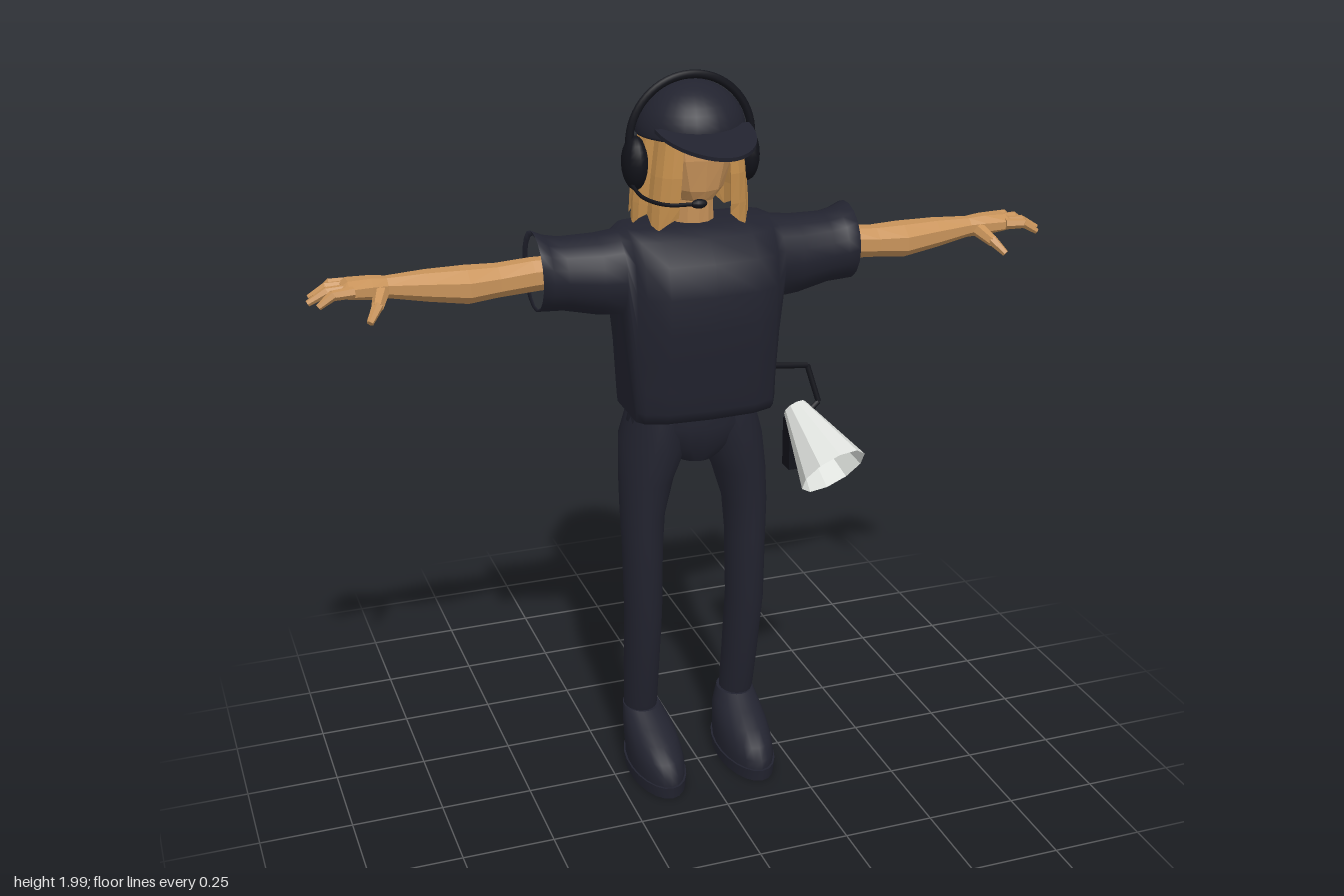
import * as THREE from 'three';

const V = (x, y, z) => new THREE.Vector3(x, y, z);
const mat = (name, color, opts = {}) => Object.assign(new THREE.MeshStandardMaterial({ color, ...opts }), { name });

// Skin a list of rings (each ring turns counter-clockwise about the direction of travel)
function loft(rings, { closed = true, capStart = false, capEnd = false } = {}) {
  const n = rings[0].length, pos = [], idx = [];
  rings.forEach(r => r.forEach(p => pos.push(p.x, p.y, p.z)));
  for (let i = 0; i < rings.length - 1; i++) {
    for (let j = 0; j < (closed ? n : n - 1); j++) {
      const a = i * n + j, b = i * n + (j + 1) % n;
      idx.push(a, b, b + n, a, b + n, a + n);
    }
  }
  const cap = (ring, flip) => {
    const base = pos.length / 3;
    ring.forEach(p => pos.push(p.x, p.y, p.z));
    for (let j = 1; j < n - 1; j++) idx.push(base, base + (flip ? j + 1 : j), base + (flip ? j : j + 1));
  };
  if (capStart) cap(rings[0], true);
  if (capEnd) cap(rings[rings.length - 1], false);
  const g = new THREE.BufferGeometry();
  g.setAttribute('position', new THREE.Float32BufferAttribute(pos, 3));
  g.setIndex(idx);
  g.computeVertexNormals();
  return g;
}

// Oval rings stacked up y: [y, centre x, half width, front z, back z]
const ovalsY = (rows, n) => rows.map(([y, cx, hx, zf, zb]) => Array.from({ length: n }, (_, j) => {
  const a = j / n * Math.PI * 2;
  return V(cx + hx * Math.sin(a), y, (zf + zb) / 2 + (zf - zb) / 2 * Math.cos(a));
}));

// Oval rings strung along x: [x, centre y, half height, front z, back z]
const ovalsX = (rows, n) => rows.map(([x, cy, hy, zf, zb]) => Array.from({ length: n }, (_, j) => {
  const a = (j + 0.5) / n * Math.PI * 2;
  return V(x, cy + hy * Math.cos(a), (zf + zb) / 2 + (zf - zb) / 2 * Math.sin(a));
}));

export function createModel() {
  const model = new THREE.Group();
  model.name = 'crewMember';
  const navy = mat('navyCloth', 0x22232f);
  const black = mat('blackPlastic', 0x12131a);
  const skin = mat('skin', 0xc8935a, { flatShading: true });
  const hair = mat('hair', 0xc8924f, { flatShading: true, side: THREE.DoubleSide });
  const white = mat('megaphoneWhite', 0xdde0dc, { flatShading: true, side: THREE.DoubleSide });

  const add = (name, geo, material, parent = model) => {
    const m = new THREE.Mesh(geo, material);
    m.name = name;
    parent.add(m);
    return m;
  };
  // Tapered rod between two points
  const rod = (name, a, b, ra, rb, sides, material, parent = model, open = false) => {
    const m = add(name, new THREE.CylinderGeometry(rb, ra, a.distanceTo(b), sides, 1, open), material, parent);
    m.position.copy(a).add(b).multiplyScalar(0.5);
    m.quaternion.setFromUnitVectors(V(0, 1, 0), b.clone().sub(a).normalize());
    return m;
  };

  // Shirt: one hollow loft from sleeve opening to sleeve opening
  const levels = [1.605, 1.585, 1.53, 1.45, 1.36, 1.27, 1.19, 1.13, 1.10];
  const front = [0.03, 0.09, 0.14, 0.157, 0.155, 0.145, 0.13, 0.125, 0.11];
  const back = [-0.10, -0.145, -0.17, -0.185, -0.19, -0.175, -0.16, -0.165, -0.15];
  const torsoRing = (x, k) => {
    const side = zs => levels.map((y, i) => {
      const mid = (front[i] + back[i]) / 2;
      return V(x, y, mid + (zs[i] - mid) * k);
    });
    return [...side(front), ...side(back).reverse()];
  };
  const sleeve = [
    [0.215, 1.488, 0.112, 0.085, -0.13], [0.27, 1.488, 0.106, 0.08, -0.125], [0.36, 1.495, 0.095, 0.065, -0.13],
    [0.40, 1.50, 0.098, 0.068, -0.135], [0.43, 1.508, 0.104, 0.072, -0.138], [0.424, 1.505, 0.095, 0.05, -0.112],
  ];
  const leftSleeve = ovalsX(sleeve, 18);
  const rightSleeve = ovalsX(sleeve.map(([x, ...r]) => [-x, ...r]), 18).reverse();
  const torso = [[-0.192, 0.62], [-0.175, 0.8], [-0.12, 0.95], [0, 1], [0.12, 0.95], [0.175, 0.8], [0.192, 0.62]];
  add('shirt', loft([...rightSleeve, ...torso.map(([x, k]) => torsoRing(x, k)), ...leftSleeve]), navy);

  // Trousers seat
  add('trouserSeat', loft(ovalsY([
    [0.95, 0, 0.06, 0.03, -0.12], [1.0, 0, 0.15, 0.06, -0.18], [1.06, 0, 0.182, 0.075, -0.185],
    [1.14, 0, 0.165, 0.07, -0.145]], 24), { capStart: true, capEnd: true }), navy);

  // Paired limbs, built on the left and mirrored
  for (const s of [1, -1]) {
    const half = new THREE.Group();
    half.name = s > 0 ? 'leftLimbs' : 'rightLimbs';
    half.scale.x = s;
    model.add(half);

    add('trouserLeg', loft(ovalsY([
      [0.15, 0.145, 0.045, -0.035, -0.14], [0.19, 0.146, 0.047, -0.022, -0.135], [0.3, 0.148, 0.049, 0, -0.122],
      [0.5, 0.15, 0.052, 0.035, -0.096], [0.7, 0.15, 0.055, 0.042, -0.104], [0.8, 0.148, 0.06, 0.046, -0.116],
      [0.9, 0.133, 0.073, 0.052, -0.145], [1.0, 0.106, 0.092, 0.063, -0.187], [1.08, 0.092, 0.084, 0.06, -0.175]], 18),
      { capStart: true, capEnd: true }), navy, half);

    // Shoe with a flat sole
    add('shoe', loft(ovalsY([
      [0.03, 0.134, 0.072, 0.168, -0.148], [0.06, 0.134, 0.073, 0.168, -0.15], [0.09, 0.135, 0.072, 0.143, -0.152],
      [0.12, 0.136, 0.069, 0.095, -0.15], [0.145, 0.139, 0.062, 0.04, -0.146], [0.175, 0.143, 0.052, -0.02, -0.142]], 22),
      { capStart: true, capEnd: true }), navy, half);
    add('shoeSole', loft(ovalsY([
      [0, 0.134, 0.074, 0.172, -0.152], [0.034, 0.134, 0.077, 0.175, -0.156]], 22),
      { capStart: true, capEnd: true }), navy, half);

    // Arm and palm
    add('arm', loft(ovalsX([
      [0.32, 1.5, 0.04, 0.005, -0.09], [0.43, 1.495, 0.044, -0.004, -0.095], [0.52, 1.49, 0.043, 0.003, -0.1],
      [0.6, 1.487, 0.048, 0.013, -0.112], [0.7, 1.495, 0.04, 0, -0.1], [0.8, 1.503, 0.028, -0.015, -0.08],
      [0.84, 1.507, 0.03, 0, -0.084], [0.9, 1.513, 0.025, 0.018, -0.092], [0.915, 1.51, 0.017, 0.012, -0.086]], 8),
      { capStart: true, capEnd: true }), skin, half);

    // Fingers: knuckle, middle joint, tip in the (x, z) plane, drooping at the end
    [[0.9, -0.078, 0.935, -0.09, 0.965, -0.096], [0.905, -0.05, 0.95, -0.06, 0.99, -0.068],
      [0.905, -0.02, 0.955, -0.02, 1.0, -0.02], [0.9, 0.006, 0.945, 0.014, 0.98, 0.02]].forEach(([x0, z0, x1, z1, x2, z2]) => {
      rod('fingerBase', V(x0 - 0.01, 1.515, z0), V(x1, 1.514, z1), 0.015, 0.013, 6, skin, half);
      rod('fingerTip', V(x1 - 0.005, 1.516, z1), V(x2, 1.49, z2), 0.0135, 0.008, 6, skin, half);
    });
    rod('thumbBase', V(0.82, 1.5, -0.015), V(0.84, 1.478, 0.035), 0.02, 0.015, 6, skin, half);
    rod('thumbTip', V(0.837, 1.483, 0.03), V(0.865, 1.45, 0.062), 0.015, 0.009, 6, skin, half);

    // Headset ear cup
    const cup = add('earCup', new THREE.SphereGeometry(1, 16, 12), black, half);
    cup.scale.set(0.034, 0.07, 0.051);
    cup.position.set(0.15, 1.76, -0.05);
  }

  // Neck and face
  add('head', loft(ovalsY([
    [1.57, 0, 0.06, 0.01, -0.11], [1.665, 0, 0.055, 0.015, -0.11], [1.672, 0, 0.05, 0.05, -0.11],
    [1.70, 0, 0.075, 0.064, -0.13], [1.78, 0, 0.105, 0.074, -0.16], [1.85, 0, 0.115, 0.07, -0.17]], 12),
    { capStart: true, capEnd: true }), skin);

  // Hair: a ridged curtain round the sides and back with a jagged hem
  const strands = 33, hairRows = [[1.60, 0.152, 0.118, -0.238], [1.66, 0.15, 0.125, -0.228], [1.74, 0.142, 0.135, -0.2], [1.85, 0.126, 0.135, -0.185]];
  add('hair', loft(hairRows.map(([y, rx, zf, zb], row) => Array.from({ length: strands }, (_, j) => {
    const a = 0.5 + j / (strands - 1) * (Math.PI * 2 - 1);
    const ridge = 1 + (j % 4 === 0 ? -0.05 : j % 2 ? 0.02 : 0.05);
    const rz = Math.cos(a) > 0 ? zf + 0.065 - 0.04 : -zb - 0.065;
    const hem = row === 0 ? [0.035, 0.012, 0, 0.02][j % 4] : 0;
    return V(rx * ridge * Math.sin(a), y + hem, -0.065 + rz * ridge * Math.cos(a));
  })), { closed: false }), hair);

  // Cap crown and sloping peak
  const dome = [new THREE.Vector2(0, 0), new THREE.Vector2(0.98, 0)];
  for (let i = 0; i <= 10; i++) {
    const a = i / 10 * Math.PI / 2;
    dome.push(new THREE.Vector2(Math.max(Math.cos(a), 0), 0.05 + Math.sin(a) * 0.95));
  }
  const crown = add('capCrown', new THREE.LatheGeometry(dome, 28), navy);
  crown.scale.set(0.142, 0.132, 0.147);
  crown.position.set(0, 1.83, -0.056);

  const peakShape = new THREE.Shape();
  peakShape.moveTo(-0.125, 0);
  peakShape.bezierCurveTo(-0.125, 0.12, -0.06, 0.21, 0, 0.21);
  peakShape.bezierCurveTo(0.06, 0.21, 0.125, 0.12, 0.125, 0);
  const peak = add('capPeak', new THREE.ExtrudeGeometry(peakShape, { depth: 0.01, bevelEnabled: false, curveSegments: 10 }), navy);
  peak.rotation.x = Math.PI / 2 + 0.16;
  peak.position.set(0, 1.862, 0.035);

  // Headset band and microphone boom
  const band = add('headsetBand', new THREE.TorusGeometry(0.165, 0.011, 8, 32, Math.PI), black);
  band.position.set(0, 1.81, -0.05);
  const boom = new THREE.CatmullRomCurve3([V(-0.165, 1.71, -0.04), V(-0.16, 1.695, 0.05), V(-0.12, 1.69, 0.115), V(-0.05, 1.69, 0.13)]);
  add('microphoneBoom', new THREE.TubeGeometry(boom, 16, 0.005, 6), black);
  const mic = add('microphone', new THREE.SphereGeometry(0.012, 10, 8), black);
  mic.scale.x = 1.8;
  mic.position.set(-0.042, 1.69, 0.13);

  // Megaphone: open bell, grip, trigger and carrying bracket
  rod('megaphoneBell', V(0.353, 0.9, 0.11), V(0.305, 1.032, -0.055), 0.098, 0.034, 10, white, model, true);
  add('megaphoneGrip', new THREE.BoxGeometry(0.035, 0.14, 0.05), black).position.set(0.3, 0.925, -0.06);
  add('megaphoneTrigger', new THREE.BoxGeometry(0.035, 0.022, 0.02), black).position.set(0.302, 0.943, 0.05);
  const bracket = [V(0.238, 1.163, -0.055), V(0.338, 1.153, -0.052), V(0.366, 1.05, -0.035), V(0.335, 1.025, -0.03)];
  for (let i = 0; i < 3; i++) rod('megaphoneBracket', bracket[i], bracket[i + 1], 0.008, 0.008, 6, black);

  return model;
}
